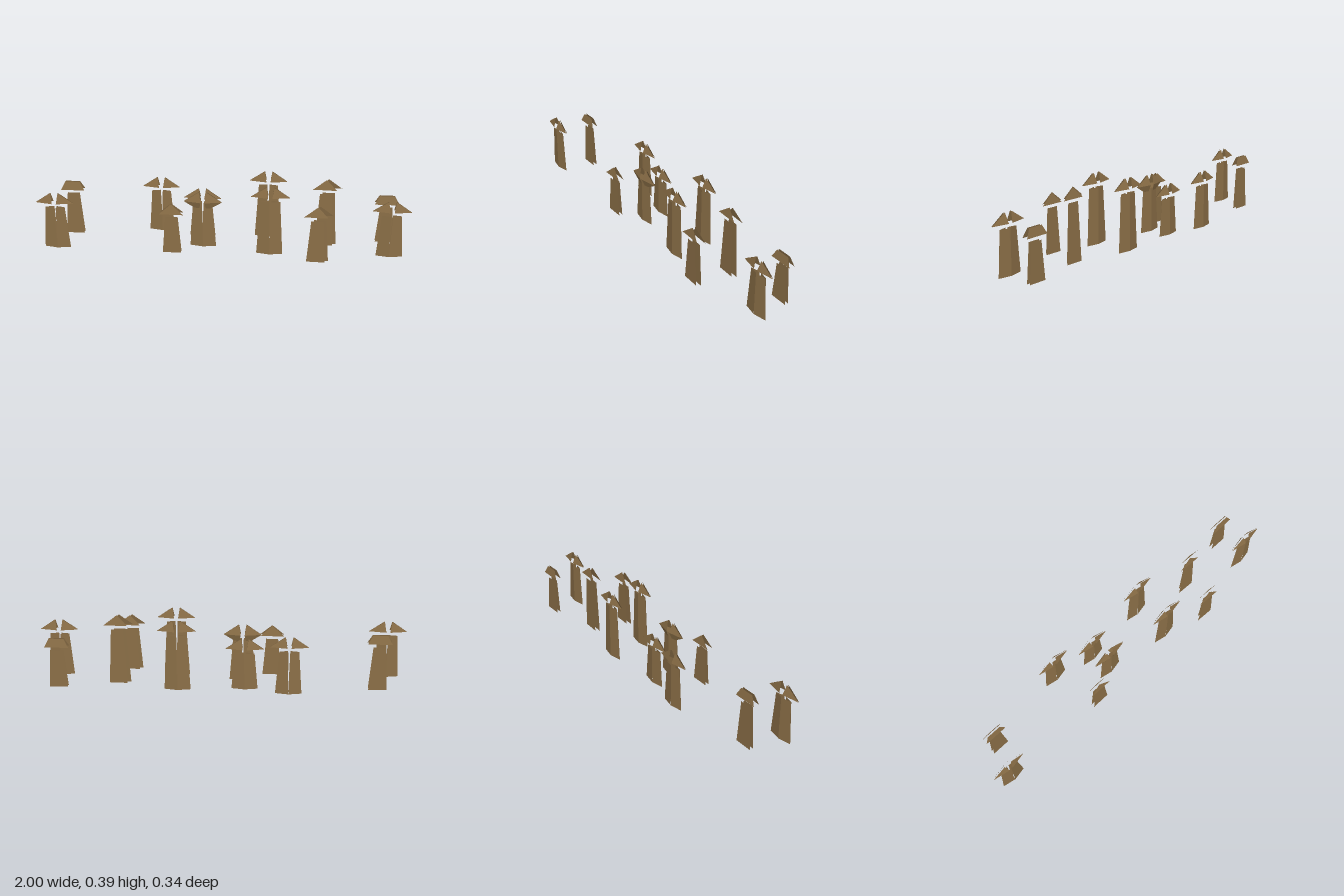
import * as THREE from 'three';

const wood = new THREE.MeshStandardMaterial({ color: 0x8b6f47, flatShading: true, side: THREE.DoubleSide });
const DEPTH = 0.2; // towers are squashed front to back

// Leaning trapezoid panels around a centre. w = half width, d = distance from centre.
function panels(name, count, turn, low, high) {
  const pos = [];
  for (let i = 0; i < count; i++) {
    const a = turn + (i * Math.PI * 2) / count;
    const c = Math.cos(a), s = Math.sin(a);
    const point = (side, { w, d, y }) => [side * w * c + d * s, y, (d * c - side * w * s) * DEPTH];
    const bl = point(-1, low), br = point(1, low), tr = point(1, high), tl = point(-1, high);
    pos.push(...bl, ...br, ...tr, ...bl, ...tr, ...tl);
  }
  const geo = new THREE.BufferGeometry();
  geo.setAttribute('position', new THREE.Float32BufferAttribute(pos, 3));
  geo.computeVertexNormals();
  const mesh = new THREE.Mesh(geo, wood);
  mesh.name = name;
  return mesh;
}

// One tower: tapering wall panels with a separate sloping roof above a gap
function tower({ x, z, wall, sides, turn, ridge = 0.002, lowerRoof = false }) {
  const g = new THREE.Group();
  g.name = 'tower';
  const eave = wall + 0.025, top = eave + (ridge > 0.01 ? 0.047 : 0.055);
  g.add(panels('walls', sides, turn, { w: 0.05, d: 0.05, y: 0 }, { w: 0.033, d: 0.041, y: wall }));
  g.add(panels('roof', sides, turn, { w: 0.065, d: 0.08, y: eave }, { w: ridge, d: 0.03, y: top }));
  if (lowerRoof) {
    g.add(panels('roofUnderside', sides, turn, { w: 0.02, d: 0.045, y: eave - 0.035 }, { w: 0.065, d: 0.08, y: eave }));
  }
  g.position.set(x, 0, z);
  return g;
}

export function createModel() {
  const model = new THREE.Group();
  model.name = 'towerVillage';

  // Four-panel towers standing corner-on: x, z, wall height
  [
    [-0.9, 0.11, 0.24], [-0.36, -0.147, 0.24], [-0.125, -0.095, 0.205], [-0.11, 0.026, 0.24],
    [0.235, -0.121, 0.31], [0.255, 0.084, 0.31], [0.897, 0.056, 0.24],
  ].forEach(([x, z, wall], i) => {
    model.add(tower({ x, z, wall, sides: 4, turn: Math.PI / 4, lowerRoof: i === 3 }));
  });

  // Two-panel towers facing front and back: x, z, wall height, turn, ridge half width
  [
    [-0.84, -0.07, 0.24, 0, 0.04], [-0.27, 0.112, 0.205, 0, 0.002], [0.555, -0.044, 0.31, -0.18, 0.002],
    [0.513, 0.15, 0.24, -0.18, 0.002], [0.88, -0.112, 0.205, 0, 0.04],
  ].forEach(([x, z, wall, turn, ridge]) => {
    model.add(tower({ x, z, wall, sides: 2, turn, ridge }));
  });

  return model;
}
